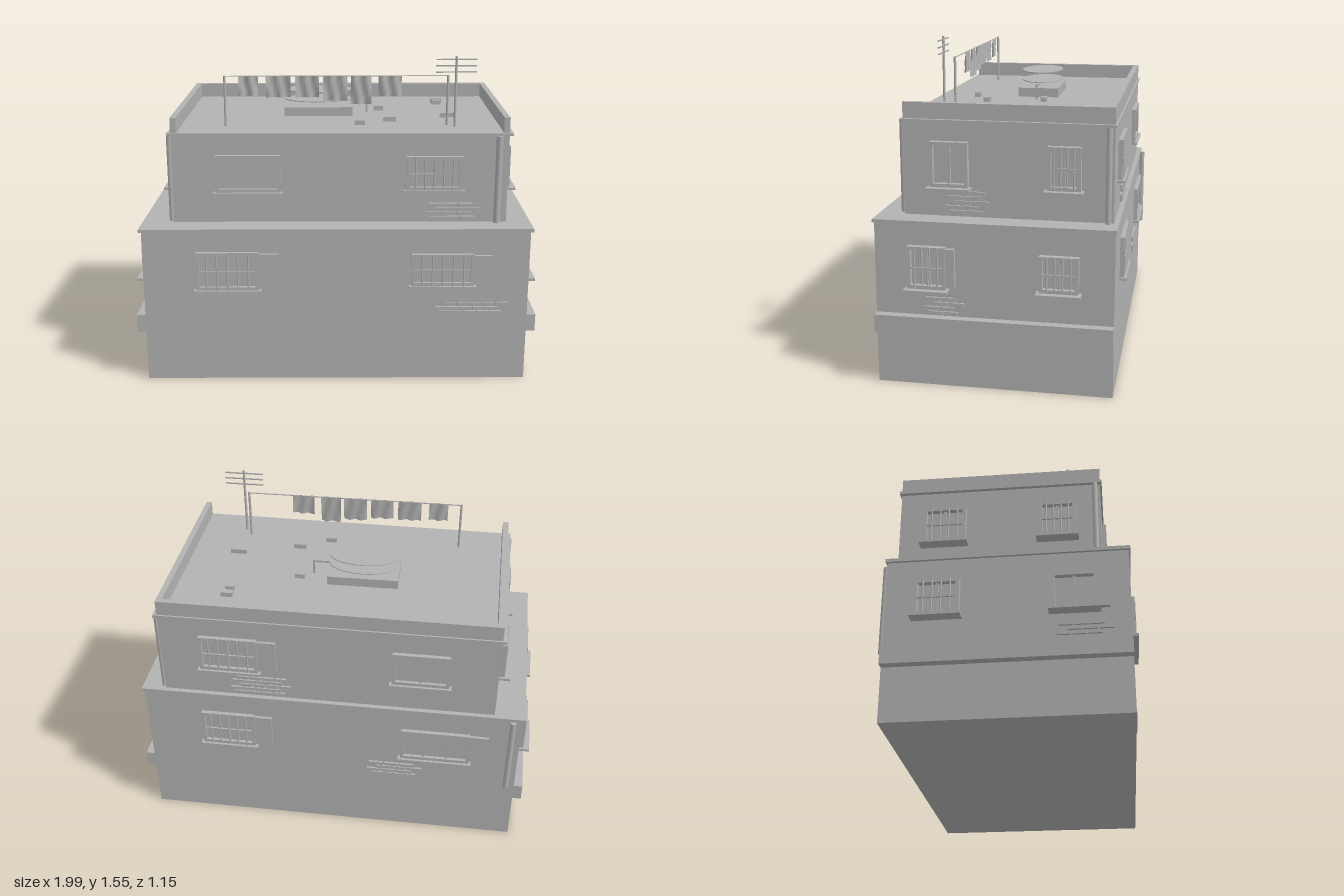
import * as THREE from 'three';

const concrete = new THREE.MeshStandardMaterial({ color: 0xb2b2b2 });
concrete.name = 'grey concrete';
const clothGrey = new THREE.MeshStandardMaterial({ color: 0xb2b2b2, side: THREE.DoubleSide });
clothGrey.name = 'grey cloth';

function add(parent, name, geometry, x = 0, y = 0, z = 0, material = concrete) {
  const mesh = new THREE.Mesh(geometry, material);
  mesh.name = name;
  mesh.position.set(x, y, z);
  parent.add(mesh);
  return mesh;
}

// Box given by its limits
function box(parent, name, x0, x1, y0, y1, z0, z1) {
  const g = new THREE.BoxGeometry(x1 - x0, y1 - y0, z1 - z0);
  return add(parent, name, g, (x0 + x1) / 2, (y0 + y1) / 2, (z0 + z1) / 2);
}

function rod(parent, name, x, y0, y1, z, r) {
  return add(parent, name, new THREE.CylinderGeometry(r, r, y1 - y0, 10), x, (y0 + y1) / 2, z);
}

// Upright prism over a crooked footprint of [x, z] corners
function prism(parent, name, corners, y0, y1) {
  const shape = new THREE.Shape(corners.map(([x, z]) => new THREE.Vector2(x, -z)));
  const g = new THREE.ExtrudeGeometry(shape, { depth: y1 - y0, bevelEnabled: false });
  g.rotateX(-Math.PI / 2);
  return add(parent, name, g, 0, y0, 0);
}

// Footprint corners run front left, front right, back right, back left
const lower = [[-0.94, 0.53], [0.91, 0.55], [0.935, -0.53], [-0.907, -0.543]];
const upper = [[-0.797, 0.415], [0.808, 0.435], [0.83, -0.513], [-0.775, -0.525]];
const grow = (c, dx, dz) => c.map(([x, z]) => [x + Math.sign(x) * dx, z + Math.sign(z) * dz]);

// Group lying on one wall: local x runs along it, local z points outward
function wall(parent, name, c, side) {
  const a = c[side], b = c[(side + 1) % 4];
  const k = side % 2 ? 1 : 0;
  const t = -a[k] / (b[k] - a[k]);
  const g = new THREE.Group();
  g.name = name;
  g.position.set(a[0] + (b[0] - a[0]) * t, 0, a[1] + (b[1] - a[1]) * t);
  g.rotation.y = Math.atan2(a[1] - b[1], b[0] - a[0]);
  parent.add(g);
  return g;
}

// Window with frame, pane, sill, and optional bars and open shutter
function addWindow(parent, x0, x1, y0, y1, { bars = 0, panes = 2, shutter = 0, depth = 0.02, sill = 0.032 } = {}) {
  const w = new THREE.Group();
  w.name = 'window';
  parent.add(w);
  const f = 0.016;
  box(w, 'windowPane', x0, x1, y0, y1, 0, 0.004);
  for (const x of [x0, x1 - f]) box(w, 'frameSide', x, x + f, y0, y1, 0, depth);
  box(w, 'frameTop', x0 + f, x1 - f, y1 - f, y1, 0, depth);
  box(w, 'frameBottom', x0 + f, x1 - f, y0, y0 + f, 0, depth);
  box(w, 'windowSill', x0 - 0.012, x1 + 0.012, y0 - 0.012, y0, 0, sill);
  for (let i = 1; i < panes; i++) {
    const x = x0 + (x1 - x0) * i / panes;
    box(w, 'mullion', x - 0.006, x + 0.006, y0 + f, y1 - f, 0, depth * 0.6);
  }
  for (let i = 1; i <= bars; i++) {
    const x = x0 + (x1 - x0) * i / (bars + 1);
    rod(w, 'windowBar', x, y0, y1, depth, 0.004);
  }
  if (bars) {
    const y = (y0 + y1) / 2;
    box(w, 'crossBar', x0 + f, x1 - f, y - 0.004, y + 0.004, depth - 0.004, depth + 0.004);
  }
  if (shutter) box(w, 'shutter', x1, x1 + shutter, y0 + 0.008, y1 - 0.008, 0, depth * 0.7);
}

// Patch of bare bricks with a ragged outline
function addBricks(parent, x0, x1, y0, rows) {
  const h = 0.022, l = 0.068;
  for (let r = 0; r < rows; r++) {
    const start = x0 + [0.02, 0, 0.045, 0.01, 0.035][r % 5];
    const end = x1 - [0.03, 0.05, 0, 0.04, 0.02][r % 5];
    const n = Math.max(2, Math.round((end - start) / l)), step = (end - start) / n;
    for (let i = 0; i < n; i++) {
      const x = start + i * step;
      box(parent, 'brick', x, x + step - 0.006, y0 + r * h, y0 + r * h + h - 0.005, 0, 0.01);
    }
  }
}

export function createModel() {
  const model = new THREE.Group();
  model.name = 'twoStoreyHouse';

  // Storeys and slabs
  prism(model, 'lowerStorey', lower, 0, 0.757);
  prism(model, 'lowerSlab', grow(lower, 0.013, 0.006), 0.757, 0.773);
  prism(model, 'upperStorey', upper, 0.773, 1.198);
  prism(model, 'roofSlab', grow(upper, 0.018, 0.008), 1.198, 1.212);

  // Ledges along both ends of the ground floor
  const [fl, fr, br, bl] = lower;
  const out = 0.043;
  prism(model, 'rightLedge', [fr, [fr[0] + out, fr[1]], [br[0] + out, br[1]], br], 0.25, 0.335);
  prism(model, 'leftLedge', [[fl[0] - out, fl[1]], fl, bl, [bl[0] - out, bl[1]]], 0.25, 0.335);

  // Parapet on the back and both ends, open at the front
  const [ul, ur, vr, vl] = upper;
  const t = 0.028;
  prism(model, 'parapet', [
    ul, [ul[0] + t, ul[1]], [vl[0] + t, vl[1] + t], [vr[0] - t, vr[1] + t],
    [ur[0] - t, ur[1]], ur, vr, vl], 1.212, 1.285);

  // Front walls
  const lowFront = wall(model, 'lowerFrontWall', lower, 0);
  addWindow(lowFront, -0.685, -0.385, 0.47, 0.66, { bars: 5, shutter: 0.095 });
  addWindow(lowFront, 0.345, 0.645, 0.49, 0.65, { bars: 5, shutter: 0.085 });
  addBricks(lowFront, 0.46, 0.82, 0.34, 3);
  const upFront = wall(model, 'upperFrontWall', upper, 0);
  addWindow(upFront, -0.59, -0.28, 0.925, 1.105);
  addWindow(upFront, 0.32, 0.59, 0.935, 1.10, { bars: 5 });
  addBricks(upFront, 0.42, 0.69, 0.785, 4);
  rod(upFront, 'drainpipe', 0.76, 0.773, 1.2, 0.014, 0.016);

  // Right walls
  const end = { depth: 0.03, sill: 0.06 };
  const lowRight = wall(model, 'lowerRightWall', lower, 1);
  addWindow(lowRight, -0.395, -0.22, 0.465, 0.66, { bars: 4, shutter: 0.04, ...end });
  addWindow(lowRight, 0.20, 0.375, 0.48, 0.645, { bars: 4, ...end });
  addBricks(lowRight, -0.325, -0.135, 0.34, 4);
  const upRight = wall(model, 'upperRightWall', upper, 1);
  addWindow(upRight, -0.31, -0.135, 0.91, 1.115, end);
  addWindow(upRight, 0.22, 0.37, 0.915, 1.11, { bars: 4, ...end });
  addBricks(upRight, -0.245, -0.035, 0.785, 5);
  rod(upRight, 'drainpipe', 0.49, 0.773, 1.2, 0.012, 0.013);

  // Back walls
  const lowBack = wall(model, 'lowerBackWall', lower, 2);
  addWindow(lowBack, -0.655, -0.39, 0.47, 0.66, { bars: 5, shutter: 0.085 });
  addWindow(lowBack, 0.335, 0.67, 0.475, 0.65, { panes: 3, shutter: 0.09 });
  addBricks(lowBack, 0.17, 0.45, 0.34, 4);
  rod(lowBack, 'drainpipe', 0.865, 0.0 + 0.335, 0.757, 0.012, 0.014);
  const upBack = wall(model, 'upperBackWall', upper, 2);
  addWindow(upBack, -0.64, -0.36, 0.925, 1.11, { bars: 5, shutter: 0.09 });
  addWindow(upBack, 0.28, 0.55, 0.925, 1.10);
  addBricks(upBack, -0.50, -0.2, 0.785, 5);

  // Left walls
  const lowLeft = wall(model, 'lowerLeftWall', lower, 3);
  addWindow(lowLeft, -0.41, -0.21, 0.475, 0.65, { bars: 4, ...end });
  addWindow(lowLeft, 0.19, 0.39, 0.475, 0.65, { shutter: 0.05, ...end });
  addBricks(lowLeft, 0.21, 0.46, 0.34, 4);
  const upLeft = wall(model, 'upperLeftWall', upper, 3);
  addWindow(upLeft, -0.41, -0.21, 0.915, 1.1, { bars: 4, ...end });
  addWindow(upLeft, 0.13, 0.3, 0.915, 1.1, { bars: 4, ...end });
  rod(upLeft, 'drainpipe', 0.39, 0.773, 1.2, 0.012, 0.013);

  // Round tank plates on a plinth, with an outlet pipe
  box(model, 'tankPlinth', -0.27, 0.075, 1.21, 1.257, -0.165, 0.035);
  for (const y of [1.285, 1.334]) {
    const disc = add(model, 'tankPlate', new THREE.CylinderGeometry(1, 1, 0.004, 40), -0.097, y, -0.065);
    disc.scale.set(0.172, 1, 0.102);
  }
  box(model, 'outletPipe', 0.06, 0.157, 1.276, 1.286, -0.073, -0.063);
  box(model, 'outletDownpipe', 0.147, 0.157, 1.21, 1.276, -0.073, -0.063);

  // Washing line
  for (const x of [-0.548, 0.53]) rod(model, 'linePost', x, 1.21, 1.458, 0.257, 0.006);
  box(model, 'washingLine', -0.548, 0.53, 1.453, 1.457, 0.255, 0.259);
  const laundry = [
    [-0.435, 0.095, 1.36], [-0.29, 0.118, 1.352], [-0.15, 0.115, 1.352],
    [-0.015, 0.118, 1.335], [0.11, 0.1, 1.318], [0.25, 0.112, 1.355]];
  laundry.forEach(([x, width, bottom], n) => {
    const g = new THREE.PlaneGeometry(width, 1.455 - bottom, 8, 5);
    const p = g.attributes.position;
    for (let i = 0; i < p.count; i++) {
      p.setZ(i, 0.008 * Math.sin(p.getX(i) * 110 + p.getY(i) * 25 + n));
    }
    g.computeVertexNormals();
    add(model, 'laundry', g, x, (1.455 + bottom) / 2, 0.26, clothGrey);
  });

  // Aerial
  rod(model, 'aerialMast', 0.562, 1.21, 1.555, 0.302, 0.006);
  for (const y of [1.48, 1.51, 1.54]) box(model, 'aerialBar', 0.465, 0.66, y - 0.003, y + 0.003, 0.299, 0.305);

  // Loose bricks on the roof
  const loose = [
    [0.537, -0.315, 0.056, 0.03], [0.533, -0.263, 0.042, 0.022], [0.215, -0.115, 0.048, 0.028],
    [0.257, 0.16, 0.062, 0.03], [0.558, 0.068, 0.08, 0.016], [0.105, 0.237, 0.052, 0.024]];
  for (const [x, z, w, d] of loose) {
    box(model, 'looseBrick', x - w / 2, x + w / 2, 1.211, 1.235, z - d / 2, z + d / 2);
  }
  return model;
}
